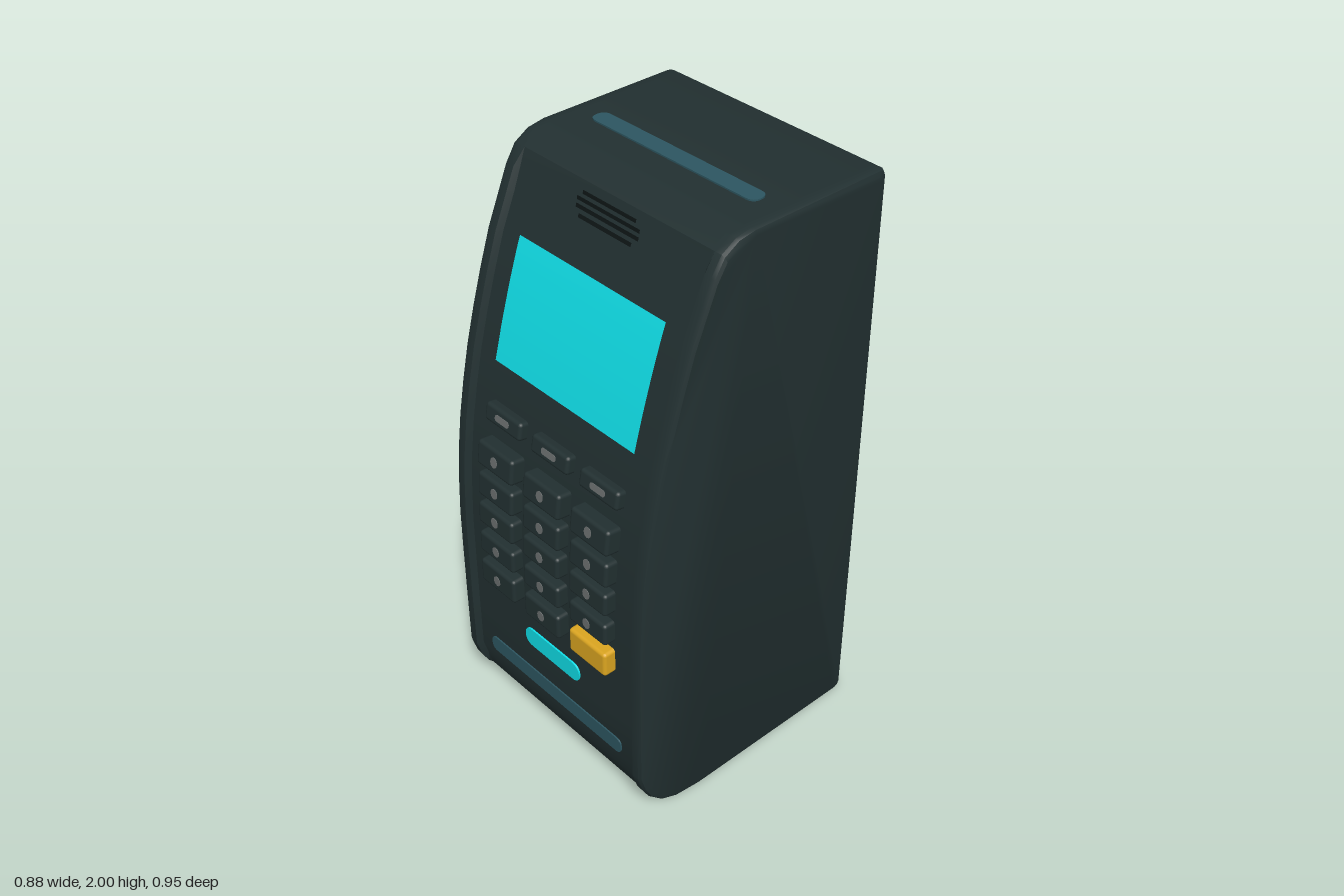
import * as THREE from 'three';
import { toCreasedNormals } from 'three/addons/utils/BufferGeometryUtils.js';
import { RoundedBoxGeometry } from 'three/addons/geometries/RoundedBoxGeometry.js';

const mat = (name, color, side = THREE.FrontSide) => {
  const m = new THREE.MeshStandardMaterial({ color, side });
  m.name = name;
  return m;
};

// Front silhouette as [z, y], from the top edge down to the base
const front = [
  [0.04, 1.995], [0.1, 1.985], [0.15, 1.955], [0.185, 1.9], [0.215, 1.83], [0.262, 1.72],
  [0.302, 1.6], [0.338, 1.48], [0.37, 1.36], [0.396, 1.24], [0.418, 1.12], [0.434, 1.0],
  [0.444, 0.88], [0.45, 0.75], [0.451, 0.6], [0.451, 0.4], [0.45, 0.2], [0.432, 0.14],
  [0.405, 0.09], [0.36, 0.045], [0.3, 0.018], [0.2, 0.005],
];
const back = [
  [-0.445, 0.005], [-0.459, 0.011], [-0.465, 0.025], [-0.465, 1.975], [-0.459, 1.989], [-0.445, 1.995],
];

// Depth of the sunken front panel, fading out at top and bottom
const sink = (y) => 0.02 * THREE.MathUtils.smoothstep(y, 0.06, 0.14) * (1 - THREE.MathUtils.smoothstep(y, 1.88, 1.95));

// Surface depth of the front panel at height y
function panelZ(y) {
  for (let i = 1; i < front.length; i++) {
    const [z0, y0] = front[i - 1], [z1, y1] = front[i];
    if (y <= y0 && y >= y1) return THREE.MathUtils.lerp(z0, z1, (y0 - y) / (y0 - y1)) - sink(y);
  }
  return 0;
}

// Body lofted across x: [x, edge inset, panel depth factor]
function bodyGeometry() {
  const half = [[0.385, 0, 1], [0.397, 0, 0], [0.422, 0, 0], [0.433, 0.005, 0], [0.439, 0.018, 0]];
  const sections = [...half.map(([x, e, p]) => [-x, e, p]).reverse(), ...half];
  const n = front.length + back.length;
  const pos = [], index = [];
  for (const [x, e, p] of sections) {
    const loop = [...front.map(([z, y]) => [z - p * sink(y), y]), ...back];
    for (const [z, y] of loop) pos.push(x, 1 + (y - 1) * (1 - e), z * (1 - e / 0.46));
  }
  const last = sections.length - 1;
  for (let i = 0; i < last; i++) {
    for (let j = 0; j < n; j++) {
      const a = i * n + j, b = i * n + (j + 1) % n;
      index.push(a, b, a + n, b, b + n, a + n);
    }
  }
  for (let j = 1; j < n - 1; j++) {
    index.push(0, j + 1, j, last * n, last * n + j, last * n + j + 1);
  }
  const g = new THREE.BufferGeometry();
  g.setAttribute('position', new THREE.Float32BufferAttribute(pos, 3));
  g.setIndex(index);
  return toCreasedNormals(g, 0.5);
}

// Thin sheet that follows the curved panel
function panelPatch(w, h, cy, lift) {
  const g = new THREE.PlaneGeometry(w, h, 1, 10);
  const p = g.attributes.position;
  for (let i = 0; i < p.count; i++) {
    const y = p.getY(i) + cy;
    p.setXYZ(i, p.getX(i), y, panelZ(y) + lift);
  }
  g.computeVertexNormals();
  return g;
}

// Flat plate with rounded or tapered ends
function pill(w, h, depth, r = h / 2) {
  const a = w / 2, b = h / 2;
  const s = new THREE.Shape();
  s.moveTo(-a + r, -b);
  s.lineTo(a - r, -b);
  s.quadraticCurveTo(a, -b, a, -b + r);
  s.lineTo(a, b - r);
  s.quadraticCurveTo(a, b, a - r, b);
  s.lineTo(-a + r, b);
  s.quadraticCurveTo(-a, b, -a, b - r);
  s.lineTo(-a, -b + r);
  s.quadraticCurveTo(-a, -b, -a + r, -b);
  return new THREE.ExtrudeGeometry(s, { depth, bevelEnabled: false, curveSegments: 6 });
}

export function createModel() {
  const group = new THREE.Group();
  const casing = mat('casing', 0x223031);
  const dark = mat('dark gaps', 0x0d1414);
  const cyan = mat('cyan glow', 0x10dfe8, THREE.DoubleSide);
  const teal = mat('slot teal', 0x2d5661);
  const amber = mat('amber key', 0xdba520);
  const grey = mat('marking grey', 0x6a6e6e);
  const baseGrey = mat('base grey', 0x454444);

  const add = (name, geometry, material, x = 0, y = 0, z = 0) => {
    const m = new THREE.Mesh(geometry, material);
    m.name = name;
    m.position.set(x, y, z);
    group.add(m);
    return m;
  };
  const box = (w, h, d) => new THREE.BoxGeometry(w, h, d);

  add('body', bodyGeometry(), casing);
  add('basePlate', box(0.8, 0.008, 0.64), baseGrey, 0, 0.004, -0.125);

  // Screen
  add('screen', panelPatch(0.62, 0.38, 1.545, 0.004), cyan);

  // Speaker slits
  for (let i = 0; i < 4; i++) {
    add('speakerSlit', panelPatch(i % 3 ? 0.26 : 0.22, 0.011, 1.862 + i * 0.022, 0.004), dark);
  }

  // Keypad: [row height, key height, top face depth]
  const rows = [
    [1.2, 0.062, 0.415], [1.068, 0.088, 0.455], [0.953, 0.086, 0.462],
    [0.843, 0.08, 0.468], [0.728, 0.08, 0.471], [0.61, 0.09, 0.474],
  ];
  rows.forEach(([y, h, top], r) => {
    for (let c = -1; c <= 1; c++) {
      const isAmber = r === 5 && c === 1;
      const key = add(isAmber ? 'amberKey' : 'key', new RoundedBoxGeometry(0.168, h, 0.07, 2, 0.012),
        isAmber ? amber : casing, c * 0.218, y, top - 0.036);
      key.rotation.x = -Math.atan((panelZ(y - 0.05) - panelZ(y + 0.05)) / 0.1);
      if (isAmber) continue;
      const mark = new THREE.Mesh(r ? pill(0.03, 0.036, 0.004) : pill(0.065, 0.022, 0.004), grey);
      mark.name = 'keyMark';
      mark.position.z = 0.033;
      key.add(mark);
    }
  });

  // Status light and card slot
  add('statusLight', pill(0.265, 0.07, 0.008), cyan, 0, 0.425, panelZ(0.425) - 0.002);
  add('cardSlot', pill(0.65, 0.058, 0.008, 0.025), teal, 0, 0.252, panelZ(0.25) - 0.003);

  // Paper slot on top
  const topSlot = add('paperSlot', pill(0.67, 0.06, 0.006), teal, 0, 1.994, -0.078);
  topSlot.rotation.x = -Math.PI / 2;

  // Rear vent with a row of slanted ribs
  add('ventRecess', box(0.64, 0.1, 0.006), dark, 0, 1.625, -0.465);
  add('ventPlate', box(0.6, 0.075, 0.008), teal, 0, 1.625, -0.4655);
  for (let i = 0; i < 14; i++) {
    const rib = add('ventRib', box(0.016, 0.07, 0.008), grey, -0.273 + i * 0.042, 1.625, -0.467);
    rib.rotation.z = 0.35;
  }

  // Rear port with lit ends and dark connectors
  add('portRecess', box(0.36, 0.08, 0.006), dark, 0, 0.345, -0.465);
  for (const s of [-1, 1]) {
    add('portLight', box(0.055, 0.055, 0.008), cyan, s * 0.145, 0.35, -0.466);
    add('portConnector', box(0.08, 0.05, 0.008), casing, s * 0.055, 0.345, -0.466);
  }
  return group;
}
